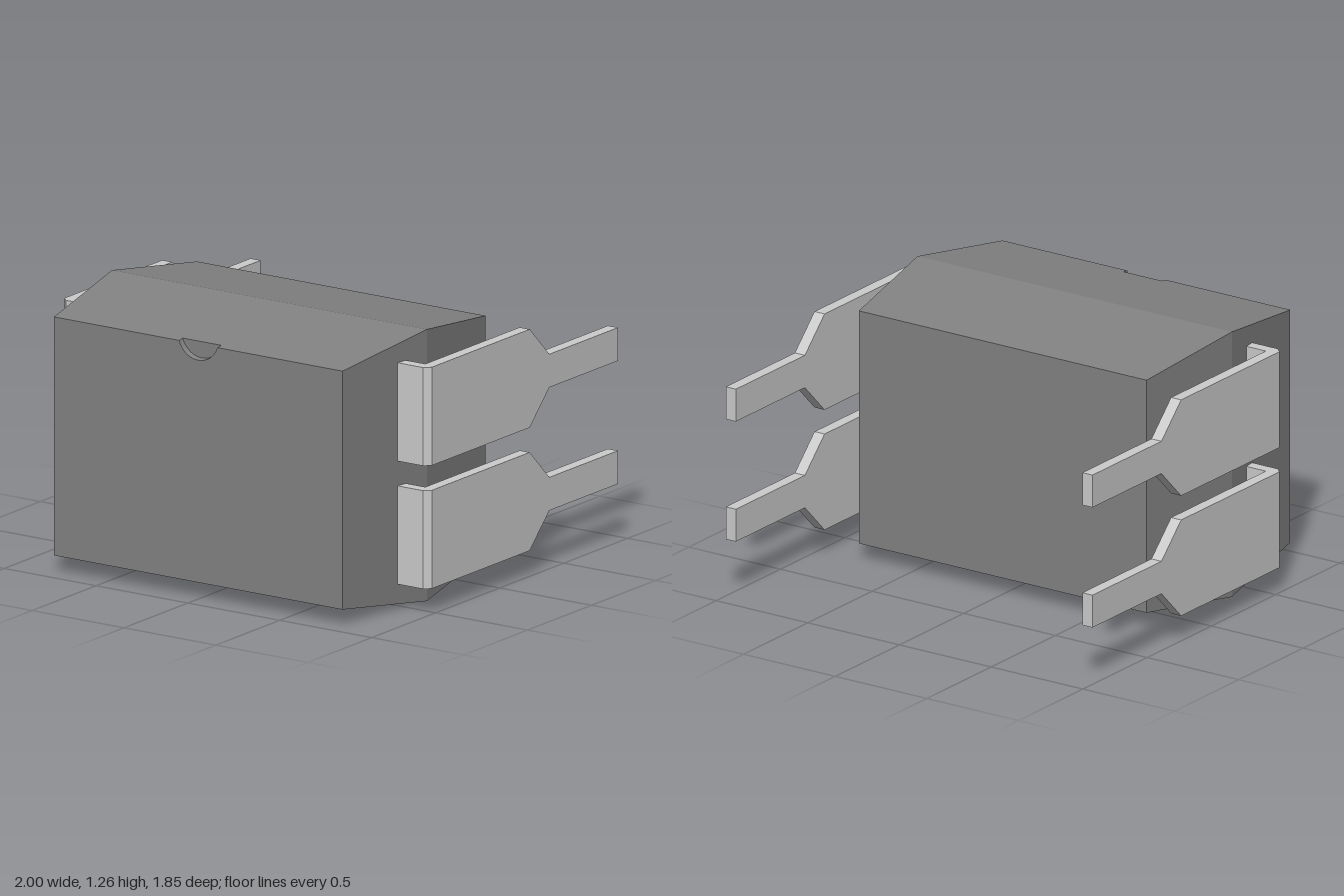
import * as THREE from 'three';

const bodyMat = new THREE.MeshStandardMaterial({ color: 0x828282, flatShading: true });
const pinMat = new THREE.MeshStandardMaterial({ color: 0xcccccc, flatShading: true });
const MID_Y = 0.63;

function add(parent, name, geometry, material) {
  const mesh = new THREE.Mesh(geometry, material);
  mesh.name = name;
  parent.add(mesh);
}

const shapeOf = (pts) => new THREE.Shape(pts.map(([x, y]) => new THREE.Vector2(x, y)));

// Closed solid lofted through rectangles [halfWidth, halfHeight, z], back to front
function loftBoxes(sections) {
  const pos = [], idx = [];
  for (const [w, h, z] of sections)
    pos.push(-w, MID_Y - h, z, w, MID_Y - h, z, w, MID_Y + h, z, -w, MID_Y + h, z);
  for (let s = 0; s < sections.length - 1; s++)
    for (let i = 0; i < 4; i++) {
      const a = s * 4 + i, b = s * 4 + (i + 1) % 4;
      idx.push(a, b, b + 4, a, b + 4, a + 4);
    }
  const f = (sections.length - 1) * 4;
  idx.push(0, 2, 1, 0, 3, 2, f, f + 1, f + 2, f, f + 2, f + 3);
  const g = new THREE.BufferGeometry();
  g.setAttribute('position', new THREE.Float32BufferAttribute(pos, 3));
  g.setIndex(idx);
  const flat = g.toNonIndexed();
  flat.computeVertexNormals();
  return flat;
}

// Thin front layer with the round index notch cut from its top edge
function frontLayer() {
  const w = 0.785, h = 0.553, top = MID_Y + h, r = 0.11, cy = 1.218;
  const a = Math.asin((cy - top) / r);
  const s = new THREE.Shape();
  s.moveTo(-w, MID_Y - h);
  s.lineTo(w, MID_Y - h);
  s.lineTo(w, top);
  s.lineTo(r * Math.cos(a), top);
  s.absarc(0, cy, r, -a, -Math.PI + a, true);
  s.lineTo(-w, top);
  const g = new THREE.ExtrudeGeometry(s, { depth: 0.03, bevelEnabled: false, curveSegments: 20 });
  // Widen the rear of the layer so it follows the draft of the body
  const p = g.attributes.position;
  for (let i = 0; i < p.count; i++) {
    if (p.getZ(i) > 0.01) continue;
    p.setX(i, p.getX(i) * 0.789 / w);
    p.setY(i, MID_Y + (p.getY(i) - MID_Y) * 0.557 / h);
  }
  g.translate(0, 0, 0.89);
  g.computeVertexNormals();
  return g;
}

// One pin: bent shoulder leaving the body, then a flat blade tapering to a narrow tip
function makePin(side, y) {
  const pin = new THREE.Group();
  pin.name = side > 0 ? 'leftPin' : 'rightPin';
  const half = 0.228, tip = 0.077, t = 0.055;

  const bend = shapeOf([
    [0.8, 0.557], [0.972, 0.557], [1, 0.53], [1, 0.3], [1 - t, 0.3], [1 - t, 0.502], [0.8, 0.502],
  ].map(([x, z]) => [side * x, z]));
  const bendGeo = new THREE.ExtrudeGeometry(bend, { depth: 2 * half, bevelEnabled: false });
  bendGeo.rotateX(Math.PI / 2).translate(0, y + half, 0);
  add(pin, 'pinShoulder', bendGeo, pinMat);

  const blade = shapeOf([
    [-0.3, -half], [0.235, -half], [0.388, -tip], [0.925, -tip],
    [0.925, tip], [0.388, tip], [0.235, half], [-0.3, half],
  ]);
  const bladeGeo = new THREE.ExtrudeGeometry(blade, { depth: t, bevelEnabled: false });
  bladeGeo.rotateY(Math.PI / 2).translate(side > 0 ? 1 - t : -1, y, 0);
  add(pin, 'pinBlade', bladeGeo, pinMat);
  return pin;
}

export function createModel() {
  const model = new THREE.Group();
  model.name = 'chipPackage';

  // Moulded body, widest at the parting line
  add(model, 'body', loftBoxes([
    [0.785, 0.553, -0.197], [0.857, 0.63, 0.363], [0.789, 0.557, 0.89],
  ]), bodyMat);
  add(model, 'notchedFront', frontLayer(), bodyMat);

  // Two pins on each side
  for (const side of [1, -1])
    for (const y of [0.347, 0.918]) model.add(makePin(side, y));

  return model;
}
